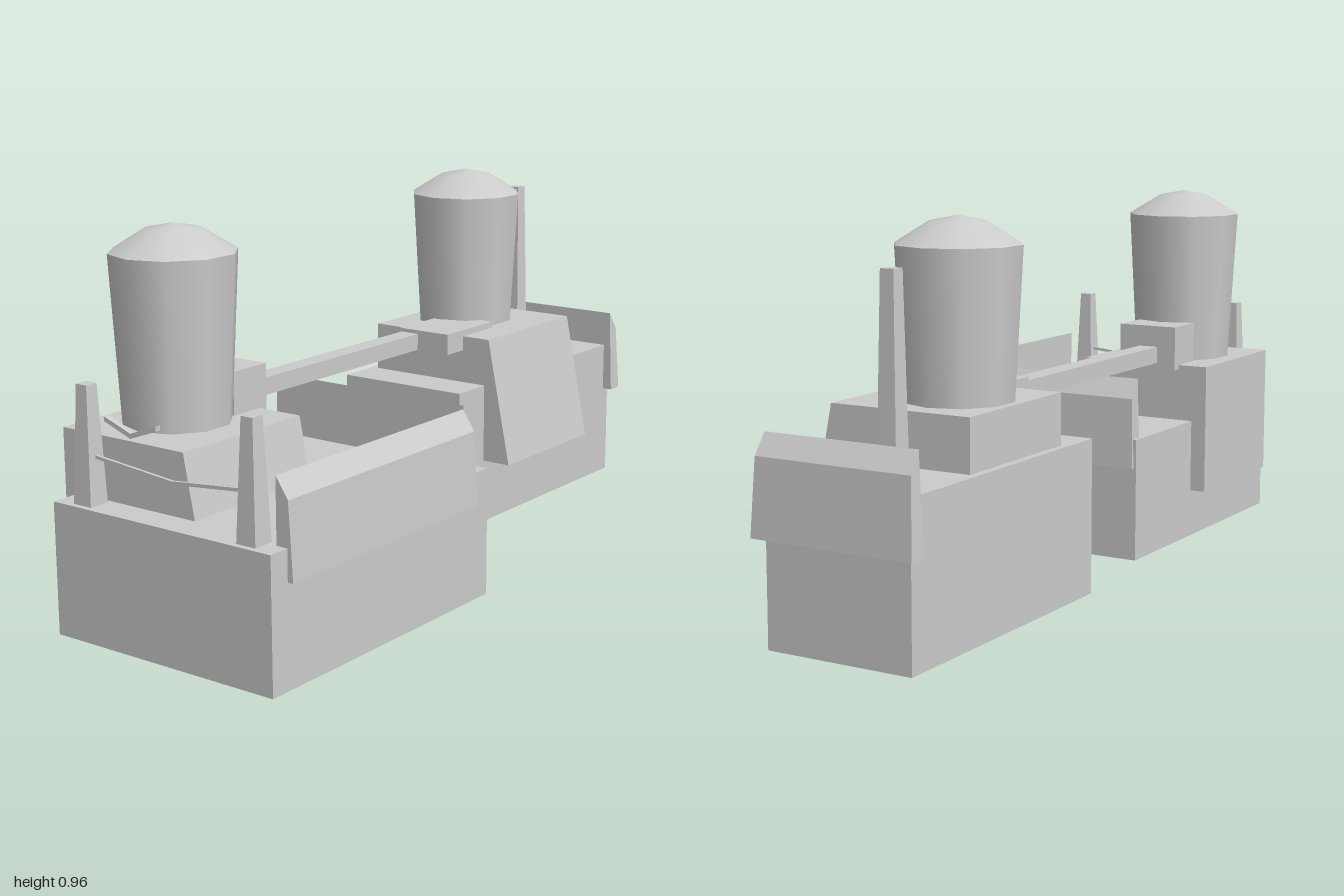
import * as THREE from 'three';

const mat = new THREE.MeshStandardMaterial({ color: 0xcccccc, flatShading: true, side: THREE.DoubleSide });
const smoothMat = new THREE.MeshStandardMaterial({ color: 0xcccccc, side: THREE.DoubleSide });

function add(group, name, geometry, material = mat) {
  const mesh = new THREE.Mesh(geometry, material);
  mesh.name = name;
  group.add(mesh);
  return mesh;
}

// Box given by its limits; the underside can be left open.
function block(x0, x1, y0, y1, z0, z1, open = false) {
  const g = new THREE.BoxGeometry(x1 - x0, y1 - y0, z1 - z0);
  if (open) g.setIndex([...g.index.array].filter((_, i) => i < 18 || i >= 24));
  return g.translate((x0 + x1) / 2, (y0 + y1) / 2, (z0 + z1) / 2);
}

// Open-bottomed plinth whose left side leans outward towards the bottom.
function plinthGeometry(y0, y1, z0, z1) {
  const g = block(-0.34, 0.04, y0, y1, z0, z1, true);
  const p = g.attributes.position;
  for (let i = 0; i < p.count; i++) {
    if (p.getX(i) > 0 && p.getY(i) < y1 - 0.01) p.setX(i, 0.11);
  }
  g.computeVertexNormals();
  return g;
}

// Tapered square post standing on y0.
function postGeometry(x, y0, y1, z, bottom, top) {
  const g = new THREE.CylinderGeometry(top * Math.SQRT1_2, bottom * Math.SQRT1_2, y1 - y0, 4);
  return g.rotateY(Math.PI / 4).translate(x, (y0 + y1) / 2, z);
}

// Bevelled skirt panel: a profile facing +x, run along z and slightly narrower at the top.
function flapGeometry(length, taper) {
  const shape = new THREE.Shape([
    [0, 0.25], [0.045, 0.25], [0.034, 0.435], [0, 0.485],
  ].map(([x, y]) => new THREE.Vector2(x, y)));
  const g = new THREE.ExtrudeGeometry(shape, { depth: length, bevelEnabled: false });
  g.translate(0, 0, -length / 2);
  const p = g.attributes.position;
  for (let i = 0; i < p.count; i++) p.setZ(i, p.getZ(i) * (1 - taper * (p.getY(i) - 0.25)));
  g.computeVertexNormals();
  return g;
}

// Sagging bar in the xy plane, bent once in the middle.
function saggingBar(points, thickness, depth, z) {
  const lower = points.map(([x, y]) => new THREE.Vector2(x, y - thickness)).reverse();
  const shape = new THREE.Shape([...points.map(([x, y]) => new THREE.Vector2(x, y)), ...lower]);
  return new THREE.ExtrudeGeometry(shape, { depth, bevelEnabled: false }).translate(0, 0, z - depth / 2);
}

// Ten-sided tank, wider at the top, with a low dome.
function addTank(group, name, x, z, bottom) {
  const tank = new THREE.Group();
  tank.name = name;
  tank.position.set(x, 0, z);
  const rBottom = 0.155 - (0.89 - bottom) * 0.055;
  add(tank, 'tankWall', new THREE.CylinderGeometry(0.155, rBottom, 0.89 - bottom, 10, 1, true)
    .translate(0, (0.89 + bottom) / 2, 0), smoothMat);
  const dome = [[0, 0.957], [0.07, 0.943], [0.155, 0.89]].reverse().map(([r, y]) => new THREE.Vector2(r, y));
  add(tank, 'tankDome', new THREE.LatheGeometry(dome, 10), smoothMat);
  group.add(tank);
}

export function createModel() {
  const model = new THREE.Group();
  model.name = 'twinTankStation';

  // Front unit
  const front = new THREE.Group();
  front.name = 'frontUnit';
  model.add(front);
  add(front, 'frontBase', block(-0.297, 0.36, 0, 0.327, 0.175, 1, true));
  add(front, 'frontPlinth', plinthGeometry(0.13, 0.482, 0.51, 0.92));
  addTank(front, 'frontTank', -0.165, 0.715, 0.28);
  add(front, 'beamHousing', block(-0.255, -0.085, 0.47, 0.59, 0.485, 0.605));
  add(front, 'sideFlap', flapGeometry(0.705, 0)).position.set(0.33, 0, 0.592);
  const backFlap = add(front, 'backFlap', flapGeometry(0.61, 0.12));
  backFlap.rotation.y = Math.PI / 2;
  backFlap.position.set(0.015, 0, 0.21);

  // Railing posts with a sagging rail, and a small bent plate ahead of the tank
  for (const x of [-0.218, 0.278]) {
    add(front, 'railPost', postGeometry(x, 0.32, 0.612, 0.958, 0.055, 0.033));
  }
  add(front, 'rail', saggingBar([[-0.2, 0.446], [0.04, 0.425], [0.26, 0.446]], 0.008, 0.008, 0.956));
  add(front, 'bentPlate', saggingBar([[-0.182, 0.537], [-0.1, 0.508], [-0.02, 0.537]], 0.012, 0.014, 0.935));

  // Rear unit
  const rear = new THREE.Group();
  rear.name = 'rearUnit';
  model.add(rear);
  add(rear, 'rearBase', block(-0.36, 0.027, 0.003, 0.395, -0.98, -0.185, true));
  add(rear, 'rearPlinth', plinthGeometry(0.18, 0.525, -0.715, -0.305));
  addTank(rear, 'rearTank', -0.19, -0.525, 0.3);
  add(rear, 'beamClamp', block(-0.205, -0.045, 0.485, 0.542, -0.45, -0.23));
  add(rear, 'mast', postGeometry(-0.245, 0.39, 0.865, -0.877, 0.052, 0.035));
  const rearFlap = add(rear, 'rearFlap', flapGeometry(0.43, 0.2));
  rearFlap.rotation.y = Math.PI / 2;
  rearFlap.position.set(-0.16, 0.01, -0.955);

  // Beam joining the two units
  add(model, 'connectingBeam', block(-0.2, -0.145, 0.487, 0.532, -0.24, 0.5));
  return model;
}
